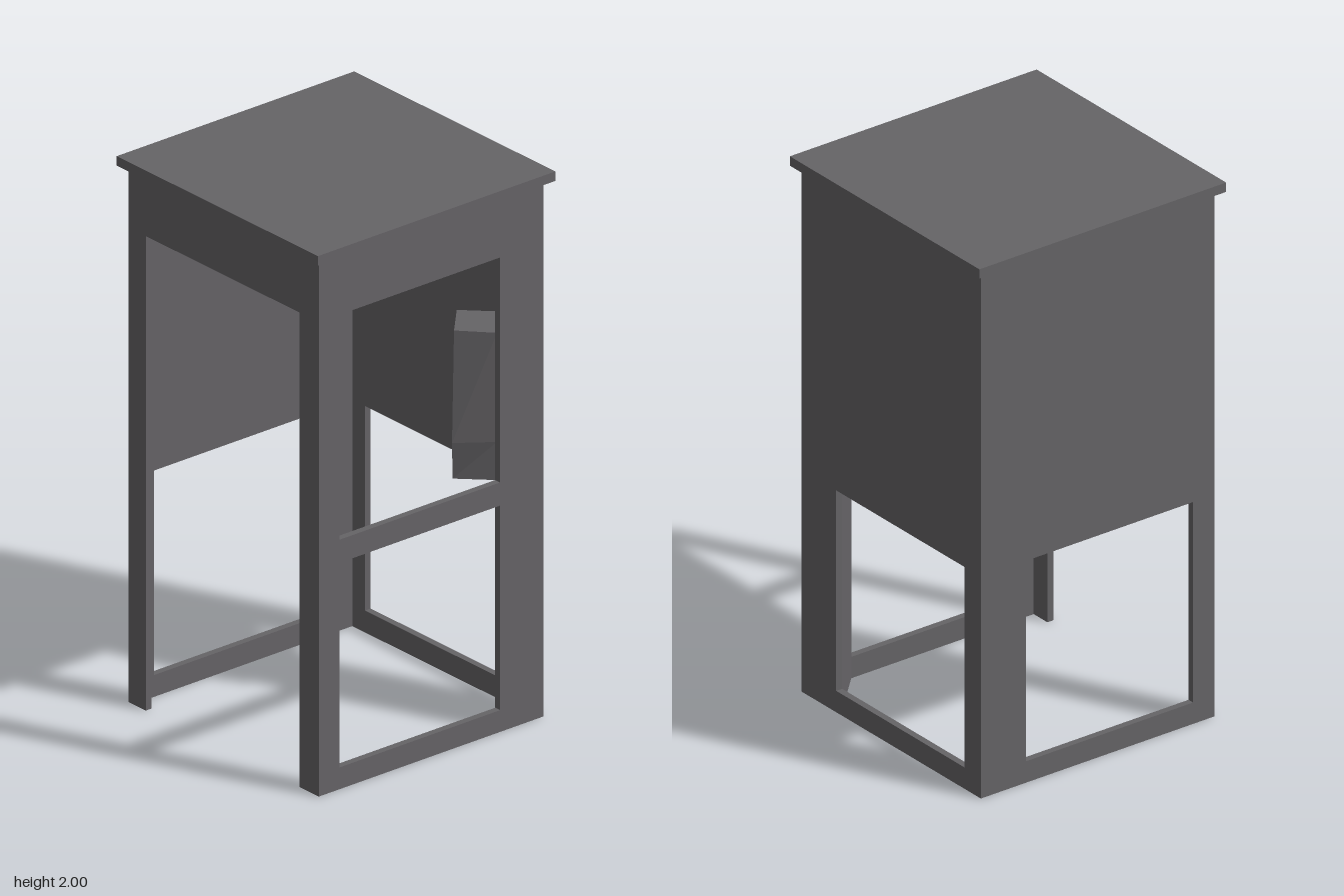
import * as THREE from 'three';

const W = 0.49, T = 0.025, H = 1.965;

export function createModel() {
  const group = new THREE.Group();
  const grey = new THREE.MeshStandardMaterial({ color: 0x666467 });
  grey.name = 'dark grey';

  const add = (name, geometry) => {
    const mesh = new THREE.Mesh(geometry, grey);
    mesh.name = name;
    group.add(mesh);
    return mesh;
  };

  const rect = (C, x0, x1, y0, y1) => {
    const s = new C();
    s.moveTo(x0, y0);
    s.lineTo(x1, y0);
    s.lineTo(x1, y1);
    s.lineTo(x0, y1);
    s.closePath();
    return s;
  };

  // Thin upright wall with rectangular openings
  const wall = (halfWidth, openings) => {
    const shape = rect(THREE.Shape, -halfWidth, halfWidth, 0, H);
    openings.forEach(o => shape.holes.push(rect(THREE.Path, ...o)));
    return new THREE.ExtrudeGeometry(shape, { depth: T, bevelEnabled: false });
  };

  // Front: two legs and a lintel, open down to the ground
  const front = new THREE.Shape([
    [-W, 0], [-0.4, 0], [-0.4, 1.74], [0.39, 1.74], [0.39, 0], [W, 0], [W, H], [-W, H],
  ].map(p => new THREE.Vector2(...p)));
  add('frontFrame', new THREE.ExtrudeGeometry(front, { depth: T, bevelEnabled: false }))
    .position.z = W - T;

  // Back wall, closed above and open below
  add('backWall', wall(W, [[-0.4, 0.3, 0.08, 0.83]])).position.z = -W;

  // Side walls: the left one has a window, the right one is closed above
  const lower = [-0.3, 0.4, 0.08, 0.83];
  const upper = [-0.3, 0.4, 0.915, 1.74];
  add('leftWall', wall(W - T, [lower, upper]).rotateY(-Math.PI / 2)).position.x = W;
  add('rightWall', wall(W - T, [lower]).rotateY(-Math.PI / 2)).position.x = -W + T;

  // Diagonal post filling the rear left corner
  const e = W - T;
  const corner = new THREE.Shape([[0.3, e], [e, 0.3], [e, e]].map(p => new THREE.Vector2(...p)));
  add('cornerPost', new THREE.ExtrudeGeometry(corner, { depth: H, bevelEnabled: false })
    .rotateX(-Math.PI / 2));

  // Wall unit on the post: sections from bottom to top, with one bulging edge
  const sections = [
    [0.9, 0.34, -0.22],
    [1.04, 0.355, -0.205],
    [1.44, 0.338, -0.228],
  ];
  const points = [];
  sections.forEach(([y, x, z]) => points.push(
    0.325, y, -0.445, 0.445, y, -0.325, x, y, z, 0.22, y, -0.34));
  const index = [0, 1, 2, 0, 2, 3];
  for (let s = 0; s < sections.length - 1; s++) {
    for (let i = 0; i < 4; i++) {
      const a = s * 4 + i, b = s * 4 + (i + 1) % 4;
      index.push(b, a, a + 4, b, a + 4, b + 4);
    }
  }
  const t = (sections.length - 1) * 4;
  index.push(t + 3, t + 2, t + 1, t + 3, t + 1, t);
  const indexed = new THREE.BufferGeometry();
  indexed.setAttribute('position', new THREE.Float32BufferAttribute(points, 3));
  indexed.setIndex(index);
  const unit = indexed.toNonIndexed();
  unit.computeVertexNormals();
  add('wallUnit', unit);

  // Overhanging flat roof
  add('roof', new THREE.BoxGeometry(1.035, 2 - H, 1.035)).position.y = (2 + H) / 2;

  return group;
}
